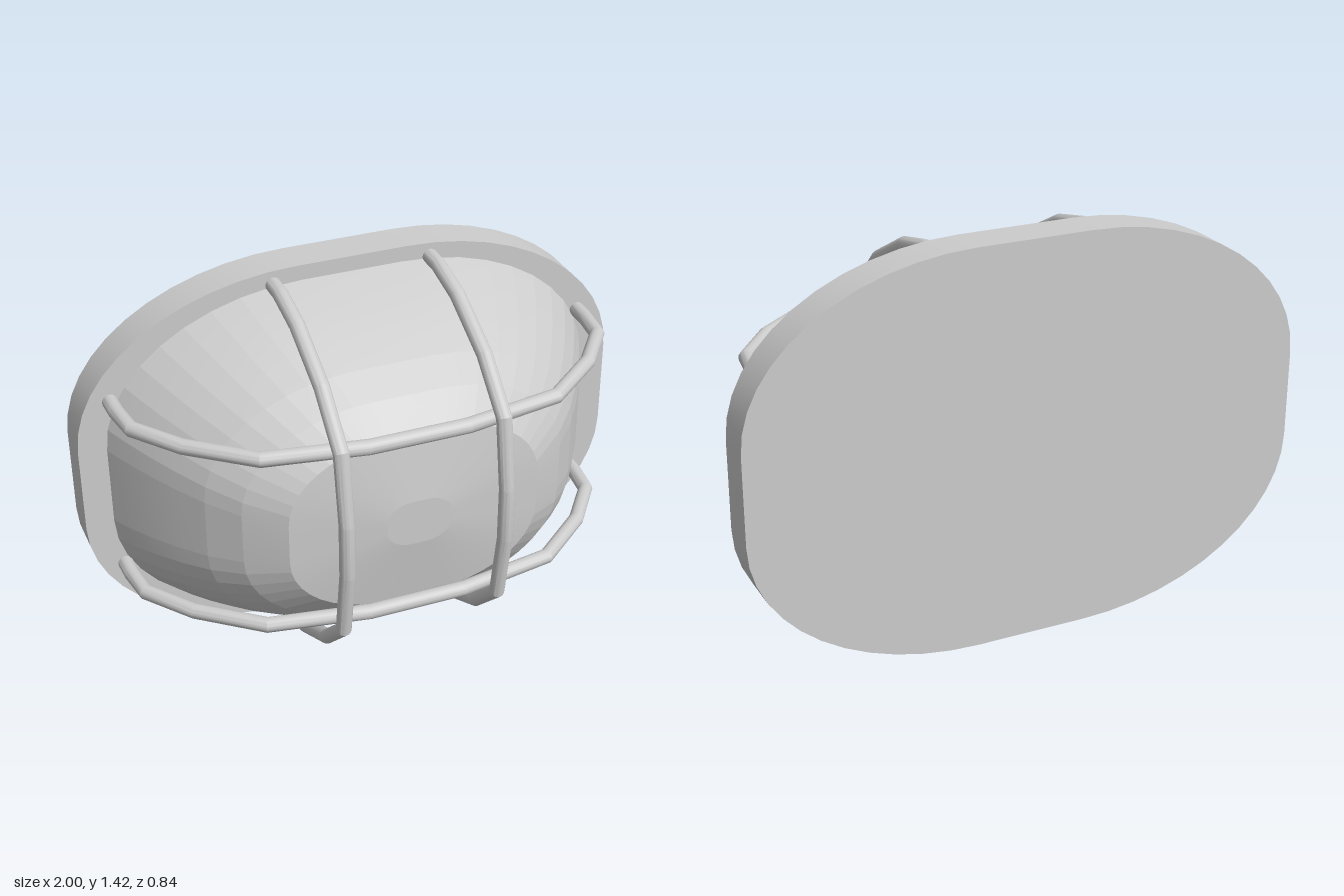
import * as THREE from 'three';
import { toCreasedNormals } from 'three/addons/utils/BufferGeometryUtils.js';

const CENTER_Y = 0.708;
const PLATE_FRONT = -0.275;
const PLATE_BACK = -0.42;

// Rounded oval: short straight sides joined by elliptical corners, counter-clockwise
function ovalOutline(halfW, halfH, steps) {
  const flatX = halfW * 0.2, flatY = halfH * 0.22;
  const points = [];
  for (let q = 0; q < 4; q++) {
    const sx = q === 0 || q === 3 ? 1 : -1;
    const sy = q < 2 ? 1 : -1;
    for (let i = 0; i <= steps; i++) {
      const a = (q + i / steps) * Math.PI / 2;
      points.push(new THREE.Vector2(
        sx * flatX + Math.cos(a) * (halfW - flatX),
        sy * flatY + Math.sin(a) * (halfH - flatY)));
    }
  }
  return points;
}

// Stack of scaled oval rings closing on a flat front disc
function domeGeometry() {
  const outline = ovalOutline(0.9, 0.653, 10);
  const rings = [[1, PLATE_FRONT], [0.96, -0.2], [0.9, -0.1], [0.83, 0], [0.75, 0.1],
    [0.645, 0.2], [0.5, 0.29], [0.13, 0.325], [0, 0.325]];
  const n = outline.length, positions = [], index = [];
  rings.forEach(([s, z], r) => {
    outline.forEach((p) => positions.push(p.x * s, p.y * s, z));
    if (r === rings.length - 1) return;
    for (let i = 0; i < n; i++) {
      const a = r * n + i, b = r * n + (i + 1) % n;
      index.push(a, b, b + n);
      if (r < rings.length - 2) index.push(a, b + n, a + n);
    }
  });
  const geometry = new THREE.BufferGeometry();
  geometry.setAttribute('position', new THREE.Float32BufferAttribute(positions, 3));
  geometry.setIndex(index);
  return toCreasedNormals(geometry, 0.08);
}

// Straight-segment path whose joints are mitred
class BentPath extends THREE.Curve {
  constructor(points) {
    super();
    this.points = points;
  }
  getPointAt(u, target = new THREE.Vector3()) {
    const last = this.points.length - 1;
    const i = Math.min(Math.floor(u * last + 1e-6), last - 1);
    return target.lerpVectors(this.points[i], this.points[i + 1], u * last - i);
  }
  getPoint(t, target) {
    return this.getPointAt(t, target);
  }
  getTangentAt(u, target = new THREE.Vector3()) {
    const p = this.points, last = p.length - 1, i = Math.round(u * last);
    target.set(0, 0, 0);
    if (i > 0) target.add(p[i].clone().sub(p[i - 1]).normalize());
    if (i < last) target.add(p[i + 1].clone().sub(p[i]).normalize());
    return target.normalize();
  }
}

// Guard bar from half a profile of [distance from centre, z], mirrored
function barGeometry(half, toPoint) {
  const points = [
    ...half.map(([d, z]) => toPoint(-d, z)),
    ...half.slice().reverse().map(([d, z]) => toPoint(d, z)),
  ];
  const tube = new THREE.TubeGeometry(new BentPath(points), points.length - 1, 0.027, 16, false);
  return toCreasedNormals(tube, 0.41);
}

export function createModel() {
  const group = new THREE.Group();
  const grey = new THREE.MeshStandardMaterial({ color: 0xcccccc });
  grey.name = 'light grey';

  const add = (name, geometry, x = 0, y = CENTER_Y, z = 0) => {
    const mesh = new THREE.Mesh(geometry, grey);
    mesh.name = name;
    mesh.position.set(x, y, z);
    group.add(mesh);
  };

  // Wall plate
  const plate = new THREE.ExtrudeGeometry(new THREE.Shape(ovalOutline(1, CENTER_Y, 12)),
    { depth: PLATE_FRONT - PLATE_BACK, bevelEnabled: false });
  add('wallPlate', toCreasedNormals(plate, 0.5), 0, CENTER_Y, PLATE_BACK);

  // Lamp cover
  add('lampCover', domeGeometry());

  // Guard cage
  const upright = [[0.655, -0.3], [0.655, -0.2], [0.618, -0.04], [0.505, 0.183],
    [0.352, 0.348], [0.1, 0.391]];
  const crossbar = [[0.875, -0.3], [0.872, -0.2], [0.855, -0.078], [0.73, 0.088],
    [0.525, 0.255], [0.175, 0.316]];
  for (const side of [-1, 1]) {
    const label = side < 0 ? 'right' : 'left';
    add(label + 'GuardBar',
      barGeometry(upright, (d, z) => new THREE.Vector3(0, d, z)), side * 0.286);
    add((side < 0 ? 'lower' : 'upper') + 'GuardBar',
      barGeometry(crossbar, (d, z) => new THREE.Vector3(d, 0, z)), 0, CENTER_Y + side * 0.332);
  }
  return group;
}
